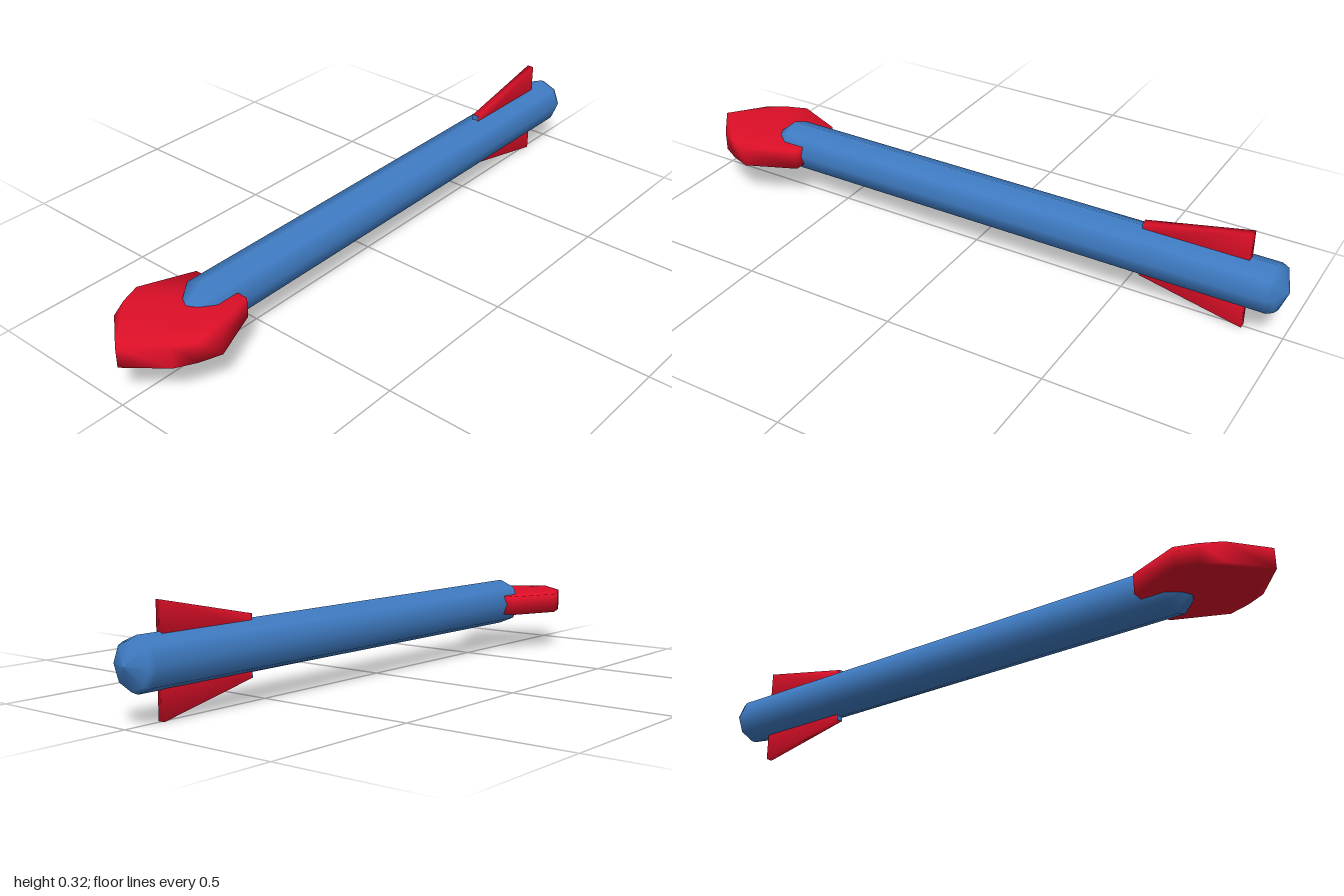
import * as THREE from 'three';
import { mergeVertices } from 'three/addons/utils/BufferGeometryUtils.js';

const AXIS = 0.16; // height of the shaft's axis
const blue = new THREE.MeshStandardMaterial({ color: 0x3f7cc4 });
const red = new THREE.MeshStandardMaterial({ color: 0xdf0f28 });

// Extruded plate whose corners share smooth normals
function plate(points, depth) {
  const shape = new THREE.Shape(points.map(([x, y]) => new THREE.Vector2(x, y)));
  let geo = new THREE.ExtrudeGeometry(shape, { depth, bevelEnabled: false });
  geo.deleteAttribute('normal');
  geo.deleteAttribute('uv');
  geo = mergeVertices(geo);
  geo.computeVertexNormals();
  return geo;
}

export function createModel() {
  const model = new THREE.Group();
  const add = (name, geometry, material) => {
    const mesh = new THREE.Mesh(geometry, material);
    mesh.name = name;
    model.add(mesh);
    return mesh;
  };

  // Eight-sided shaft with a domed tail and tapered nose
  const profile = [[0, -1], [0.067, -0.975], [0.076, -0.955], [0.076, 0.7], [0.03, 0.757], [0, 0.77]];
  const shaft = new THREE.LatheGeometry(profile.map(([r, z]) => new THREE.Vector2(r, z)), 8);
  shaft.rotateX(Math.PI / 2);
  add('shaft', shaft, blue).position.y = AXIS;

  // Flat pointed head, outlined as half and mirrored
  const half = [[0.1, 0.625], [0.168, 0.785], [0.145, 0.85], [0.112, 0.91]];
  const mirrored = half.map(([x, z]) => [-x, z]).reverse();
  const head = plate([...half, [0, 1], ...mirrored], 0.063);
  head.rotateX(Math.PI / 2);
  add('head', head, red).position.y = 0.19;

  // Upper and lower tail fins, each with a blue leading edge
  for (const s of [1, -1]) {
    const side = s > 0 ? 'upper' : 'lower';
    const outline = [[0.56, 0.05], [0.88, 0.05], [0.88, 0.158], [0.56, 0.09]];
    const fin = plate(outline.map(([x, y]) => [x, s * y]), 0.022);
    fin.rotateY(Math.PI / 2);
    add(side + 'Fin', fin, red).position.set(-0.011, AXIS, 0);

    const edge = new THREE.BoxGeometry(0.022, 0.04, 0.003);
    add(side + 'FinEdge', edge, blue).position.set(0, AXIS + s * 0.07, -0.559);
  }
  return model;
}
